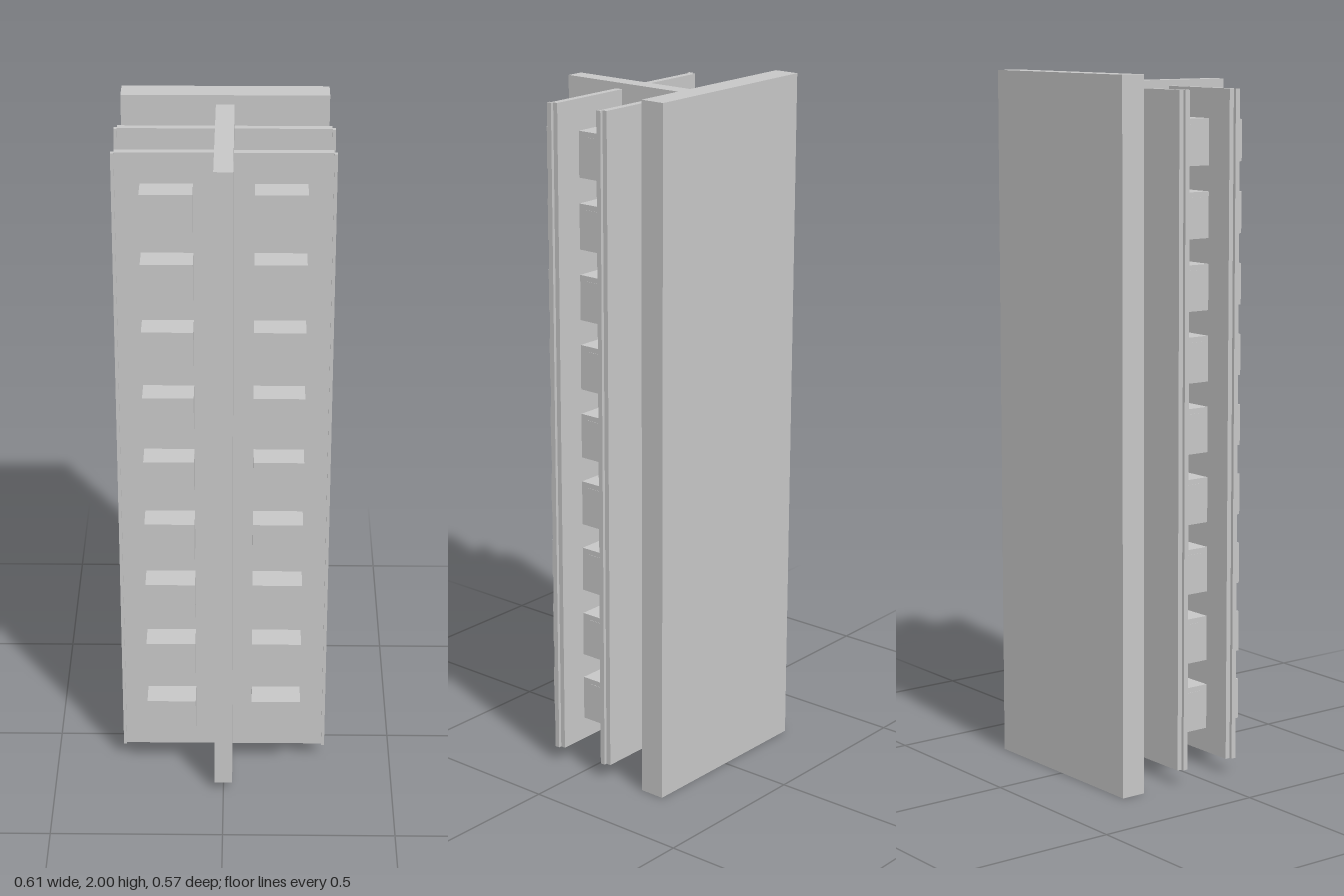
import * as THREE from 'three';

const grey = new THREE.MeshStandardMaterial({ color: 0xc6c6c6 });
grey.name = 'lightGrey';

// Box given by its minimum and maximum on each axis
function block(parent, name, [x0, x1], [y0, y1], [z0, z1]) {
  const mesh = new THREE.Mesh(new THREE.BoxGeometry(x1 - x0, y1 - y0, z1 - z0), grey);
  mesh.position.set((x0 + x1) / 2, (y0 + y1) / 2, (z0 + z1) / 2);
  mesh.name = name;
  parent.add(mesh);
}

// Same box on both sides of the centre line
function pair(parent, name, [x0, x1], y, z) {
  block(parent, name + 'Left', [x0, x1], y, z);
  block(parent, name + 'Right', [-x1, -x0], y, z);
}

export function createModel() {
  const model = new THREE.Group();
  model.name = 'tower';

  // Back slab and the central fin standing on it
  block(model, 'backSlab', [-0.29, 0.29], [0, 2], [-0.284, -0.21]);
  block(model, 'centralFin', [-0.026, 0.026], [0.027, 1.973], [-0.21, 0.284]);

  // Two layers of side panels, each with a narrow lip on its outer edge
  const height = [0.044, 1.956];
  for (const [name, z] of [['rear', -0.0925], ['front', 0.0845]]) {
    pair(model, name + 'Panel', [0.026, 0.294], height, [z, z + 0.0215]);
    pair(model, name + 'Lip', [0.294, 0.303], height, [z + 0.0145, z + 0.029]);
  }

  // Nine rows of blocks: large between the panels, smaller on the front
  const rows = new THREE.Group();
  rows.name = 'blockRows';
  model.add(rows);
  for (let i = 0; i < 9; i++) {
    const y = 1 + (i - 4) * 0.2022;
    pair(rows, 'innerBlock', [0.077, 0.232], [y - 0.065, y + 0.065], [-0.0625, 0.0625]);
    pair(rows, 'innerBlockPlate', [0.232, 0.233], [y - 0.05, y + 0.05], [-0.0255, 0.0375]);
    pair(rows, 'frontBlock', [0.083, 0.226], [y - 0.059, y + 0.059], [0.106, 0.1865]);
  }
  return model;
}
